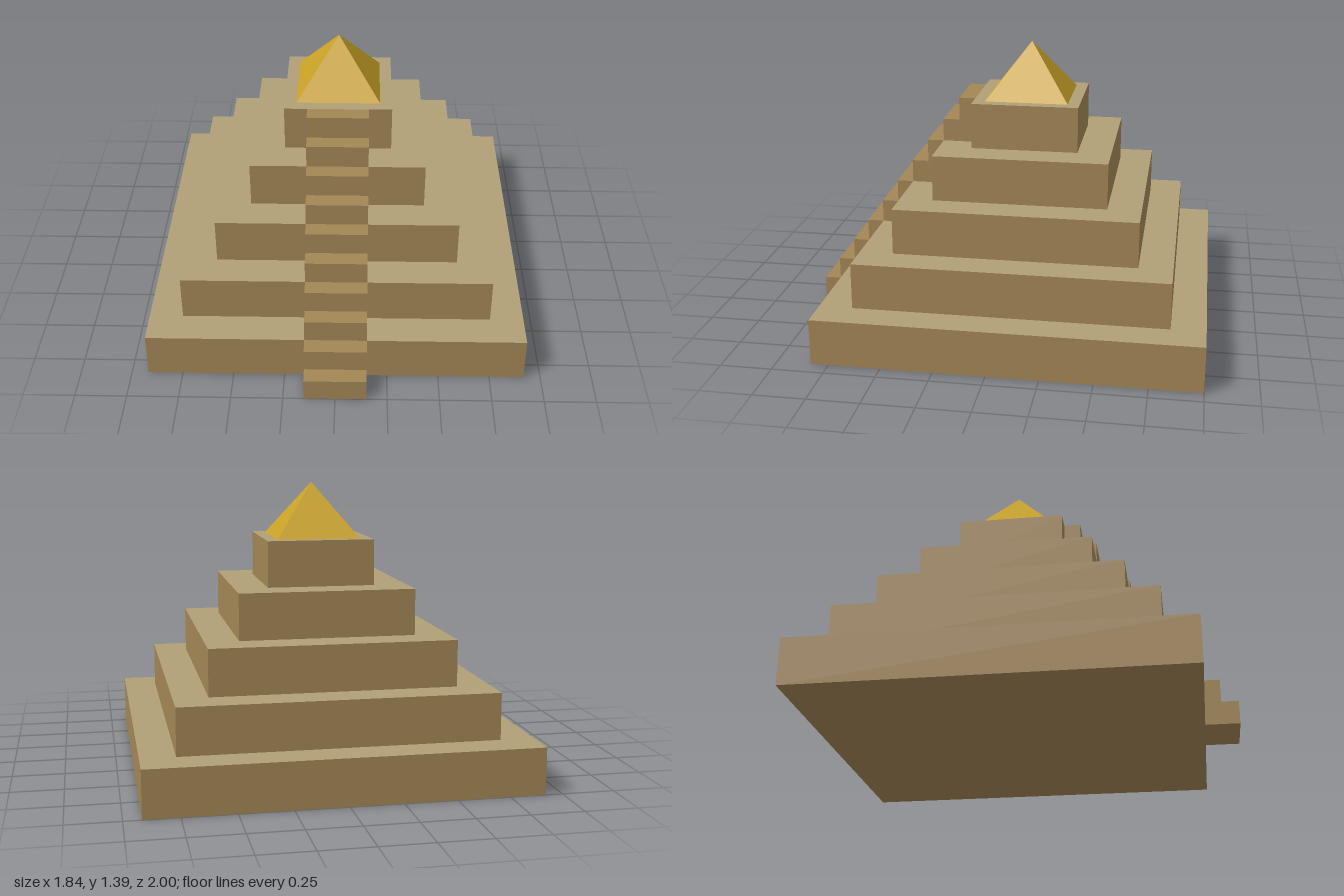
import * as THREE from 'three';

export function createModel() {
  const group = new THREE.Group();
  const mat = (name, color) => {
    const m = new THREE.MeshStandardMaterial({ color });
    m.name = name;
    return m;
  };
  const stone = mat('stone', 0xa38655);
  const paleStone = mat('paleStone', 0xb1a076);
  const gold = mat('gold', 0xc9a227);

  const tiers = 5, tierHeight = 0.2246, inset = 0.164;
  const baseHalf = 0.918, centreZ = -0.082;

  const add = (name, geometry, material, x, y, z) => {
    const mesh = new THREE.Mesh(geometry, material);
    mesh.name = name;
    mesh.position.set(x, y, z);
    group.add(mesh);
  };

  // Square terraces with pale upper surfaces
  const tierMaterials = [stone, stone, paleStone, stone, stone, stone];
  for (let i = 0; i < tiers; i++) {
    const width = 2 * (baseHalf - inset * i);
    add(`terrace${i + 1}`, new THREE.BoxGeometry(width, tierHeight, width),
      tierMaterials, 0, tierHeight * (i + 0.5), centreZ);
  }

  // Front stairway: two steps against each terrace, resting on the one below
  const tread = inset / 2, rise = tierHeight / 2;
  for (let i = 0; i < tiers * 2; i++) {
    const height = i % 2 ? tierHeight : rise;
    const bottom = Math.floor(i / 2) * tierHeight;
    add(`step${i + 1}`, new THREE.BoxGeometry(0.3, height, tread),
      stone, 0, bottom + height / 2, 1 - tread * (i + 0.5));
  }

  // Four-sided golden capstone with flat faces
  const capHeight = 0.267;
  const cap = new THREE.ConeGeometry(0.204 * Math.SQRT2, capHeight, 4)
    .rotateY(Math.PI / 4).toNonIndexed();
  cap.computeVertexNormals();
  add('capstone', cap, gold, 0, tiers * tierHeight + capHeight / 2, centreZ);

  return group;
}
